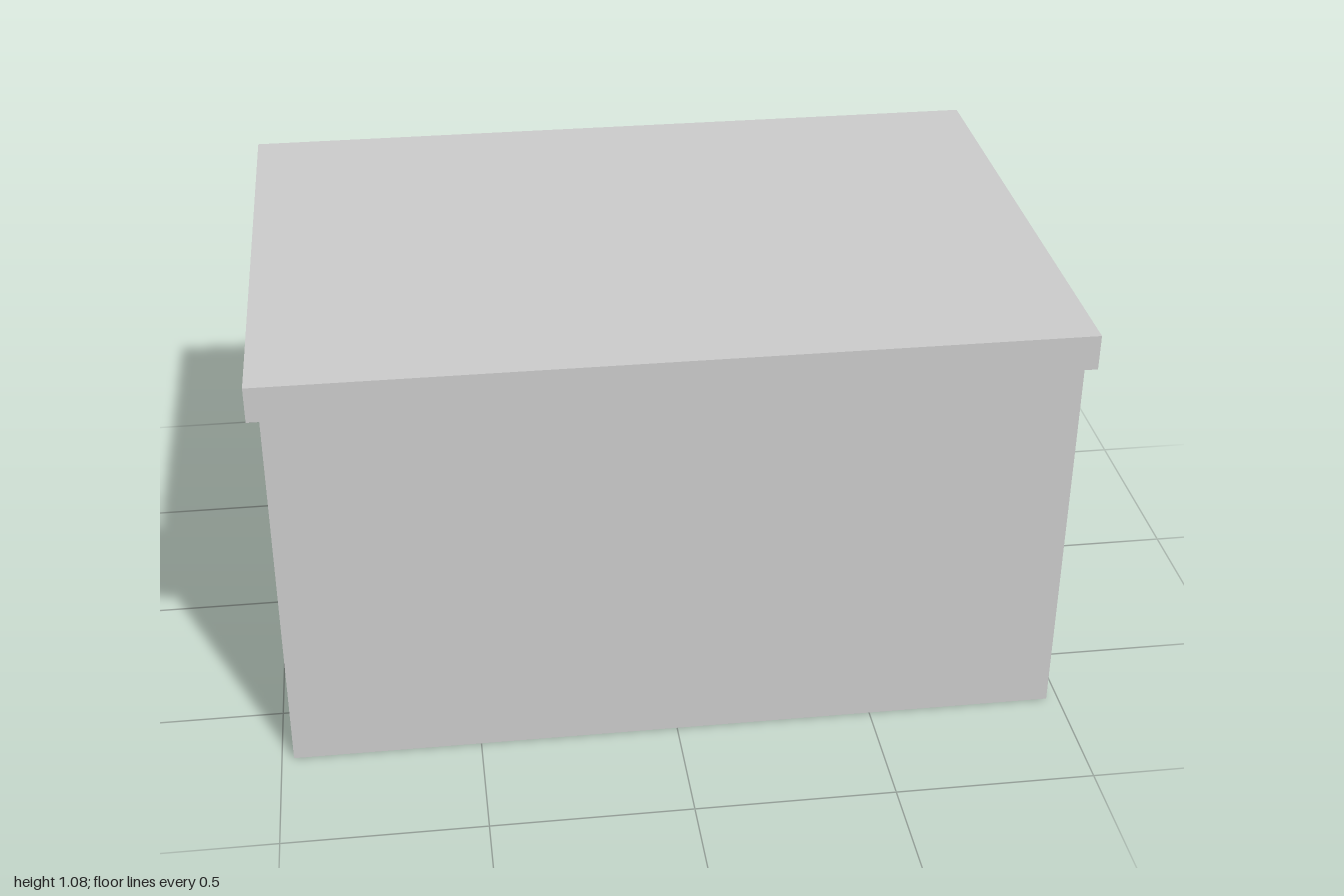
import * as THREE from 'three';

const W = 1.94, D = 1.37, H = 0.985, T = 0.03; // outer body size and wall thickness
const FLOOR = 0.505;                            // raised floor inside

export function createModel() {
  const group = new THREE.Group();
  const material = new THREE.MeshStandardMaterial({ color: 0xcccccc, flatShading: true });

  const add = (name, geometry, x, y, z) => {
    const mesh = new THREE.Mesh(geometry, material);
    mesh.name = name;
    mesh.position.set(x, y, z);
    group.add(mesh);
  };
  const box = (name, w, h, d, x, y, z) =>
    add(name, new THREE.BoxGeometry(w, h, d), x, y + h / 2, z);

  // Overhanging flat roof slab
  box('roof', 2, 0.09, 1.385, 0, H, 0);

  // Plain front and side walls
  box('frontWall', W, H, T, 0, 0, D / 2 - T / 2);
  for (const [name, s] of [['leftWall', 1], ['rightWall', -1]])
    box(name, T, H, D - 2 * T, s * (W / 2 - T / 2), 0, 0);

  // Solid base whose top is the interior floor
  box('base', W - 2 * T, FLOOR, D - 2 * T, 0, 0, 0);

  // Back wall with a small window opening
  const rect = (Type, x0, y0, x1, y1) => new Type([
    new THREE.Vector2(x0, y0), new THREE.Vector2(x1, y0),
    new THREE.Vector2(x1, y1), new THREE.Vector2(x0, y1),
  ]);
  const wall = rect(THREE.Shape, -W / 2, 0, W / 2, H);
  wall.holes.push(rect(THREE.Path, 0.55, 0.52, 0.71, 0.80));
  add('backWall', new THREE.ExtrudeGeometry(wall, { depth: T, bevelEnabled: false }), 0, 0, -D / 2);

  return group;
}
